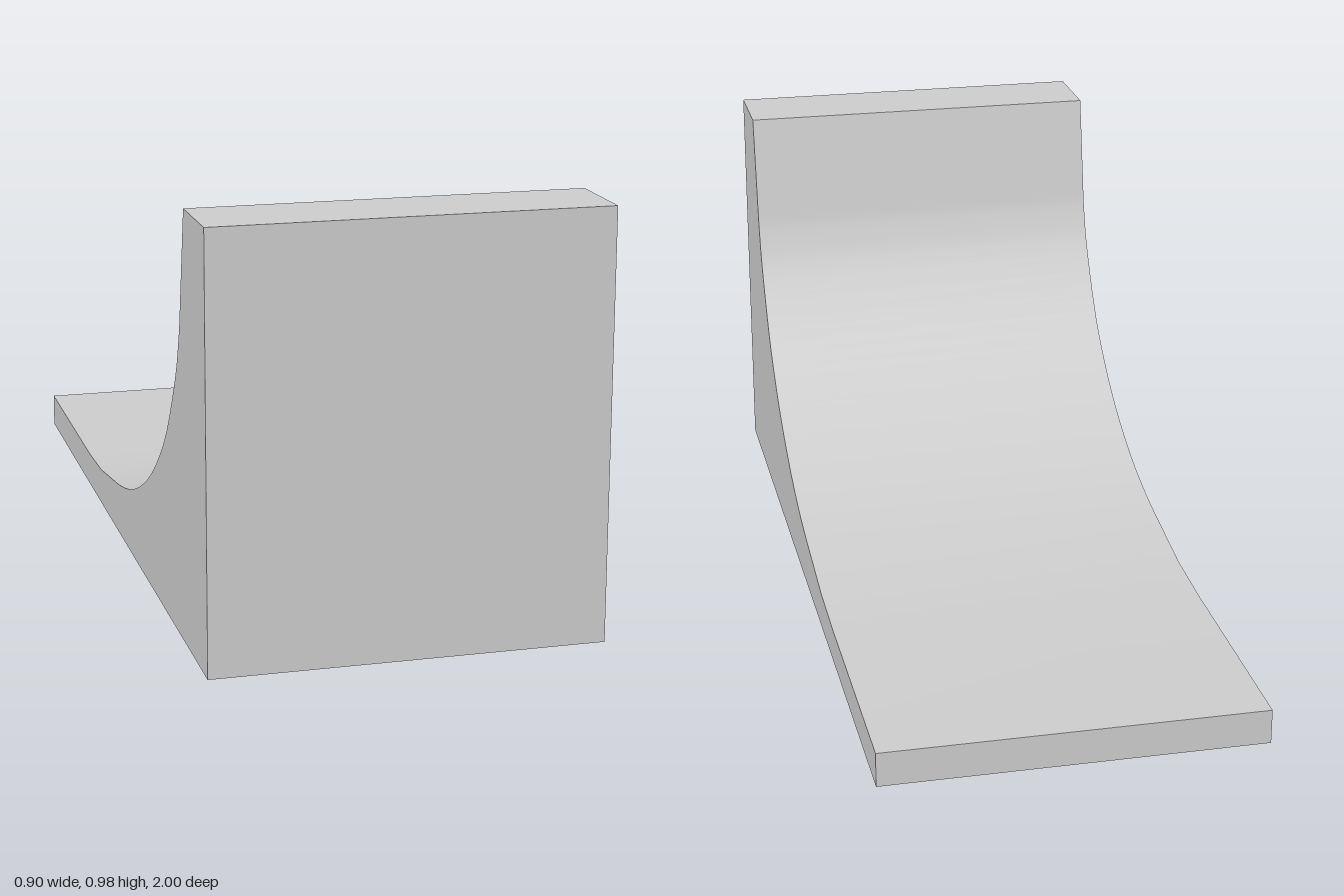
import * as THREE from 'three';
import { toCreasedNormals } from 'three/addons/utils/BufferGeometryUtils.js';

const WIDTH = 0.896;
const HEIGHT = 0.98;
const BASE = 0.083;

export function createModel() {
  const group = new THREE.Group();
  group.name = 'ramp';

  // Side profile in (z, y): flat run-out, concave sweep, steep lip, flat deck
  const profile = new THREE.Shape();
  profile.moveTo(-1, 0);
  profile.lineTo(1, 0);
  profile.lineTo(1, HEIGHT);
  profile.lineTo(0.8, HEIGHT);
  profile.lineTo(0.752, 0.735);
  profile.splineThru([
    [0.74, 0.687], [0.7, 0.588], [0.6, 0.438], [0.5, 0.342],
    [0.4, 0.271], [0.3, 0.218], [0.2, 0.177], [0.1, 0.147], [0, 0.126],
  ].map(([z, y]) => new THREE.Vector2(z, y)));
  profile.lineTo(-0.25, 0.09);
  profile.lineTo(-0.42, BASE);
  profile.lineTo(-1, BASE);
  profile.closePath();

  // Extrude across the width, then turn the profile to run along z
  const geometry = new THREE.ExtrudeGeometry(profile, {
    depth: WIDTH, bevelEnabled: false, curveSegments: 3,
  });
  geometry.translate(0, 0, -WIDTH / 2);
  geometry.rotateY(-Math.PI / 2);

  const body = new THREE.Mesh(
    toCreasedNormals(geometry, Math.PI / 6),
    new THREE.MeshStandardMaterial({ color: 0xcccccc }),
  );
  body.name = 'rampBody';
  group.add(body);
  return group;
}
